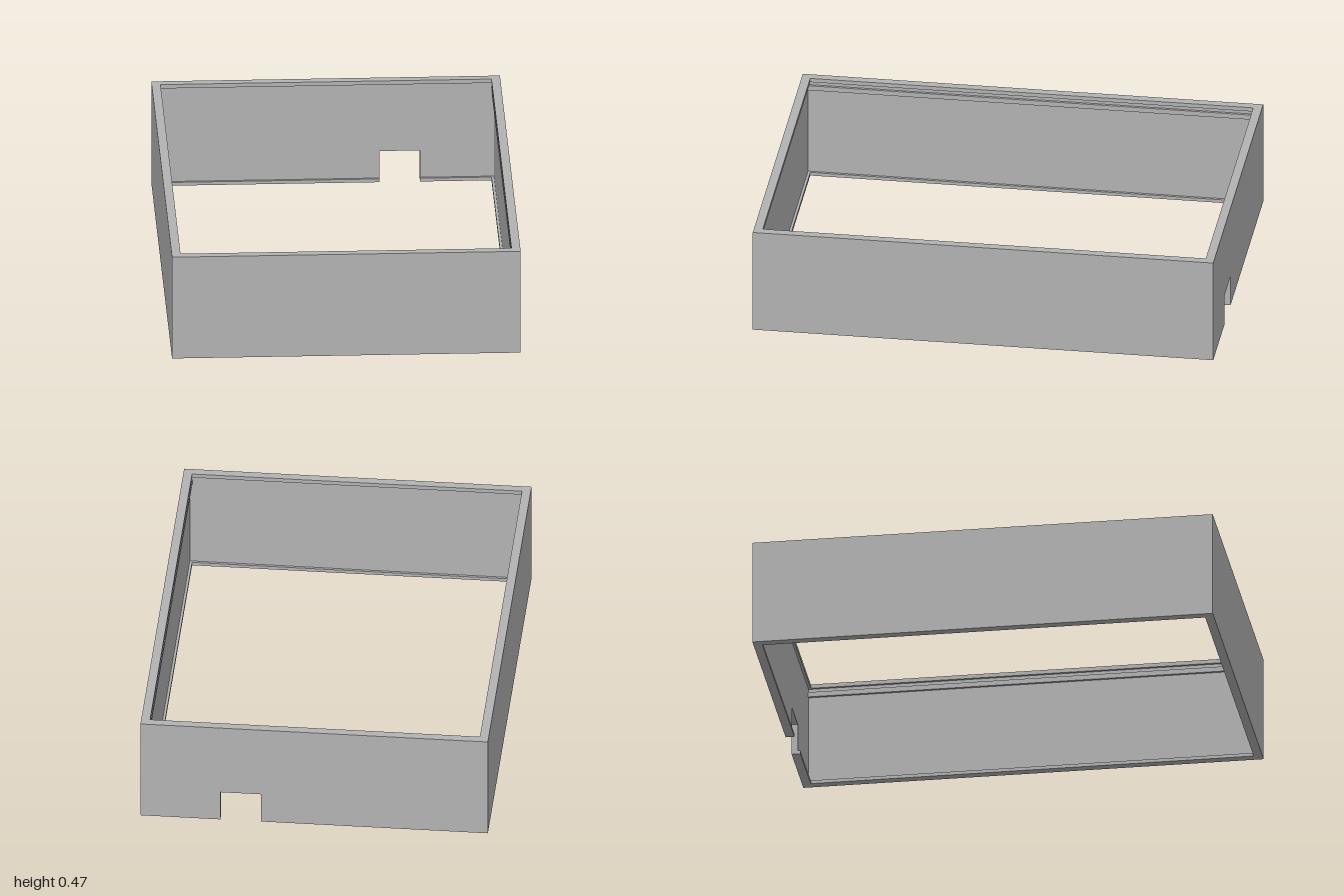
import * as THREE from 'three';

const W = 0.75, D = 1, H = 0.47;   // half width, half depth, height
const WALL = 0.027, RIM = 0.038;   // wall thickness, thickness at the lips
const NOTCH = { x0: 0.23, x1: 0.405, h: 0.14 };

export function createModel() {
  const group = new THREE.Group();
  const grey = new THREE.MeshStandardMaterial({ color: 0xb2b2b2 });
  grey.name = 'grey';

  const add = (name, geometry) => {
    const mesh = new THREE.Mesh(geometry, grey);
    mesh.name = name;
    group.add(mesh);
    return mesh;
  };
  // Box given by its limits on each axis
  const block = (name, x0, x1, y0, y1, z0, z1) =>
    add(name, new THREE.BoxGeometry(x1 - x0, y1 - y0, z1 - z0))
      .position.set((x0 + x1) / 2, (y0 + y1) / 2, (z0 + z1) / 2);

  const ix = W - WALL, iz = D - WALL; // inner faces of the walls
  const rx = W - RIM, rz = D - RIM;   // inner faces of the lips
  const lip = 0.018, base = 0.015;

  // Front wall
  block('frontWall', -W, W, 0, H, iz, D);

  // Back wall with a cable notch in its lower edge
  const outline = new THREE.Shape([
    [-W, 0], [NOTCH.x0, 0], [NOTCH.x0, NOTCH.h], [NOTCH.x1, NOTCH.h],
    [NOTCH.x1, 0], [W, 0], [W, H], [-W, H],
  ].map(([x, y]) => new THREE.Vector2(x, y)));
  add('backWall', new THREE.ExtrudeGeometry(outline, { depth: WALL, bevelEnabled: false }))
    .position.z = -D;

  // Side walls, each with lips and a rail that forms a sliding groove
  for (const [side, s] of [['left', 1], ['right', -1]]) {
    const strip = (name, a, b, y0, y1, z) =>
      block(side + name, Math.min(s * a, s * b), Math.max(s * a, s * b), y0, y1, -z, z);
    strip('Wall', ix, W, 0, H, iz);
    strip('TopLip', rx, ix, H - lip, H, iz);
    strip('Rail', rx, ix, H - 0.058, H - 0.036, iz);
    strip('BottomLip', rx, ix, 0, base, iz);
  }

  // Lips of the end walls, the lower back one broken by the notch
  block('frontTopLip', -rx, rx, H - lip, H, rz, iz);
  block('backTopLip', -rx, rx, H - lip, H, -iz, -rz);
  block('frontBottomLip', -rx, rx, 0, base, rz, iz);
  block('backBottomLip', -rx, NOTCH.x0, 0, base, -iz, -rz);
  block('backBottomLip', NOTCH.x1, rx, 0, base, -iz, -rz);

  return group;
}
